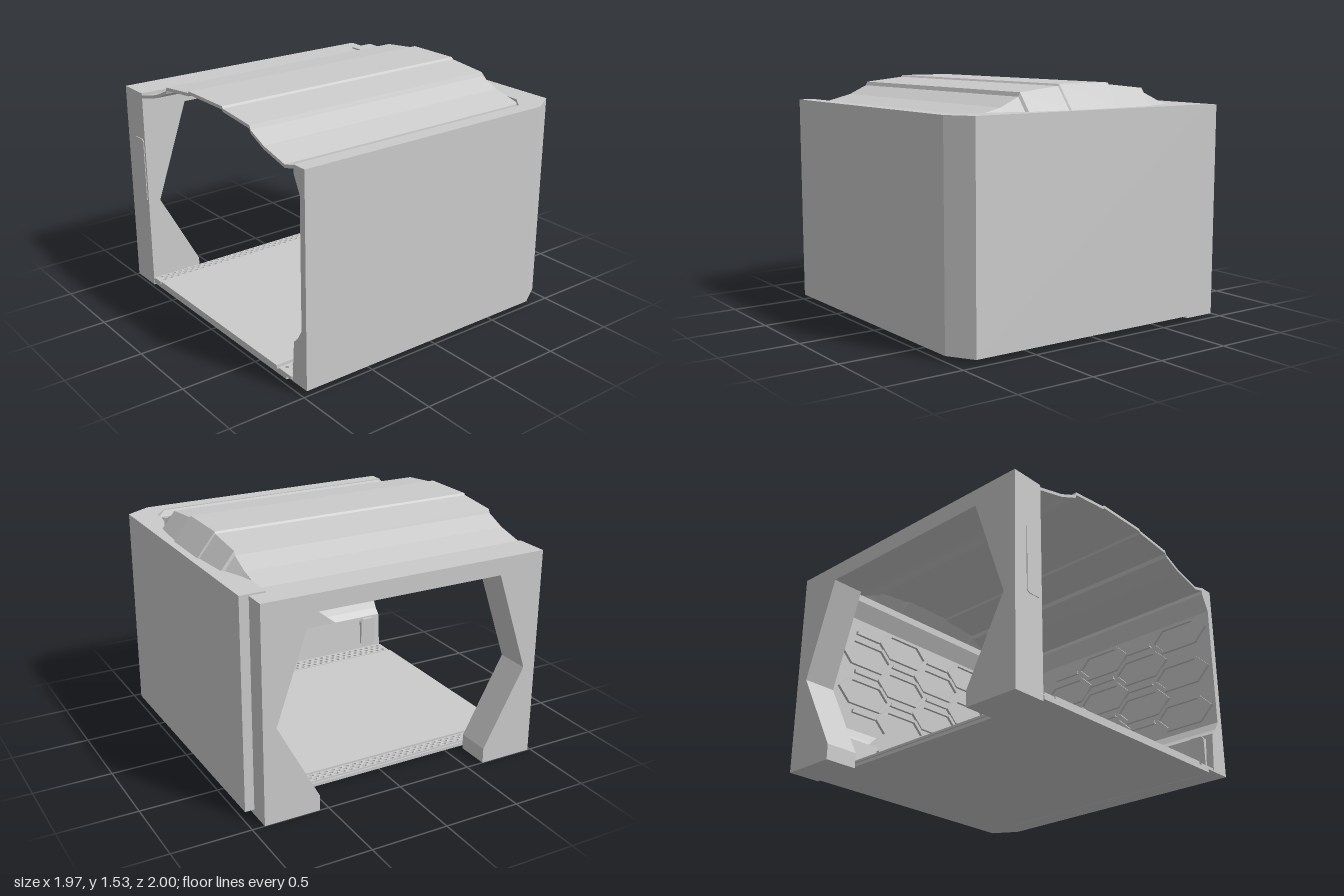
import * as THREE from 'three';

const mat = new THREE.MeshStandardMaterial({ color: 0xcccccc, flatShading: true, side: THREE.DoubleSide });
const v2 = (a) => a.map(([x, y]) => new THREE.Vector2(x, y));

function add(parent, name, geo, x = 0, y = 0, z = 0) {
  const m = new THREE.Mesh(geo, mat);
  m.name = name;
  m.position.set(x, y, z);
  parent.add(m);
  return m;
}

function extrude(points, depth, holes = []) {
  const s = new THREE.Shape(v2(points));
  holes.forEach((h) => s.holes.push(new THREE.Path(v2(h))));
  return new THREE.ExtrudeGeometry(s, { depth, bevelEnabled: false });
}

function flatGeo(positions) {
  const g = new THREE.BufferGeometry();
  g.setAttribute('position', new THREE.Float32BufferAttribute(positions, 3));
  g.computeVertexNormals();
  return g;
}

// Long hexagon outline, half width w and half height h
const hexagon = (w, h, cx = 0, cy = 0) =>
  [[-w, 0], [-w + h, -h], [w - h, -h], [w, 0], [w - h, h], [-w + h, h]].map(([x, y]) => [x + cx, y + cy]);

// Rectangle with cut corners
const cutRect = (w, h, c) =>
  [[-w + c, -h], [w - c, -h], [w, -h + c], [w, h - c], [w - c, h], [-w + c, h], [-w, h - c], [-w, -h + c]];

// Front and side wall: one closed section carried round the chamfered corner
function wallGeometry() {
  const stations = [ // outer x,z / inner x,z / outward x,z
    [-0.98, 1, -0.98, 0.9, 0, 1],
    [0.815, 1, 0.73, 0.9, 0.4, 1],
    [0.98, 0.9, 0.815, 0.8, 1, 0.4],
    [0.98, -0.86, 0.815, -0.86, 1, 0],
  ];
  const inner = [ // outward shift, height
    [0, 1.38], [0, 1.33], [0.055, 1.22], [0.055, 0.4], [0.02, 0.34], [-0.02, 0.3], [-0.04, 0.035],
  ];
  const rings = stations.map(([ox, oz, ix, iz, dx, dz]) => [
    [ox, 0.035, oz], [ox, 1.38, oz],
    ...inner.map(([o, y]) => [ix + dx * o, y, iz + dz * o]),
  ]);
  const pos = [];
  const n = rings[0].length;
  for (let i = 0; i < rings.length - 1; i++) {
    for (let j = 0; j < n; j++) {
      const k = (j + 1) % n;
      const [a, b, c, d] = [rings[i][j], rings[i + 1][j], rings[i + 1][k], rings[i][k]];
      pos.push(...a, ...b, ...c, ...a, ...c, ...d);
    }
  }
  // End caps
  [[rings[0], 2, false], [rings[3], 0, true]].forEach(([ring, axis, flip]) => {
    const tris = THREE.ShapeUtils.triangulateShape(v2(ring.map((p) => [p[axis], p[1]])), []);
    tris.forEach((t) => (flip ? t : [...t].reverse()).forEach((i) => pos.push(...ring[i])));
  });
  return flatGeo(pos);
}

// Stepped roof profile as z, y
const roofLine = [
  [0.9, 1.375], [0.82, 1.355], [0.62, 1.405], [0.495, 1.462], [0.483, 1.487], [0.21, 1.515], [0.2, 1.527],
  [-0.17, 1.527], [-0.18, 1.515], [-0.445, 1.487], [-0.455, 1.462], [-0.585, 1.405], [-0.78, 1.355],
];

function roofGeometry() {
  const under = roofLine.map(([z, y]) => [z, y - 0.02]).reverse();
  const g = extrude([...roofLine, ...under].map(([z, y]) => [-z, y]), 1.795);
  return g.rotateY(Math.PI / 2).translate(-0.98, 0, 0);
}

// Sloping end of the roof, falling to the top of the side wall
function roofEndGeometry() {
  const line = [[0.72, 1.38], ...roofLine.filter((p) => p[1] > 1.38), [-0.673, 1.38]];
  const pos = [];
  for (let i = 0; i < line.length - 1; i++) {
    const [[z0, y0], [z1, y1]] = [line[i], line[i + 1]];
    const foot = (y, z) => [0.815 + (y - 1.38) * 0.8, 1.38, z];
    const [a, b, c, d] = [[0.815, y0, z0], foot(y0, z0), foot(y1, z1), [0.815, y1, z1]];
    pos.push(...a, ...b, ...c, ...a, ...c, ...d);
  }
  return flatGeo(pos);
}

// Raised interior trim, modelled facing -z in local coordinates
function wallTrim(length) {
  const g = new THREE.Group();
  const half = length / 2;
  // Staggered honeycomb frames
  for (let row = 0; row < 5; row++) {
    const y = 0.53 + row * 0.145;
    for (let x = -half + 0.24 + (row % 2) * 0.33; x <= half - 0.23; x += 0.66) {
      add(g, 'honeycombFrame', extrude(hexagon(0.23, 0.095), 0.03, [hexagon(0.195, 0.075)]), x, y, -0.02);
      if (x + 0.43 <= half) add(g, 'honeycombLink', new THREE.BoxGeometry(0.2, 0.022, 0.03), x + 0.33, y, -0.005);
    }
  }
  // Raised lower plate with sloping shoulders
  add(g, 'skirtPlate', extrude([[-0.5, 0.28], [0.5, 0.28], [0.3, 0.44], [-0.3, 0.44]], 0.075), 0, 0, -0.075);
  return g;
}

// Strip of floor with rows of hexagonal openings
function grateGeometry(length, width) {
  const holes = [];
  for (let r = 0; r < 3; r++) {
    const y = (r - 1) * width * 0.3;
    for (let x = -length / 2 + 0.04 + (r % 2) * 0.025; x < length / 2 - 0.03; x += 0.05) {
      holes.push(hexagon(0.018, width * 0.11, x, y));
    }
  }
  const [l, w] = [length / 2, width / 2];
  return extrude([[-l, -w], [l, -w], [l, w], [-l, w]], 0.012, holes).rotateX(-Math.PI / 2);
}

export function createModel() {
  const model = new THREE.Group();
  model.name = 'roomModule';

  add(model, 'outerWall', wallGeometry());
  add(model, 'roof', roofGeometry());
  add(model, 'roofEnd', roofEndGeometry());

  // Back wall with a faceted doorway open at the floor
  const door = [[0.59, 0], [0.59, 0.1], [0.865, 0.61], [0.64, 1.26]];
  const mirrored = door.map(([x, y]) => [-x, y]).reverse();
  const outline = [[0.95, 0], [0.95, 1.37], [-0.95, 1.37], [-0.95, 0], ...mirrored.reverse(), ...[...door].reverse()];
  add(model, 'doorWall', extrude(outline, 0.22), -0.03, 0, -1);
  const sidePanel = add(model, 'doorWallSidePanel', extrude(cutRect(0.055, 0.22, 0.015), 0.005), -0.98, 0.83, -0.85);
  sidePanel.rotation.y = -Math.PI / 2;

  // Floor: lower slab, upper slab, centre plate and grates
  const floor = new THREE.Group();
  floor.name = 'floor';
  model.add(floor);
  add(floor, 'floorBase', new THREE.BoxGeometry(1.82, 0.022, 1.57), -0.07, 0.026, 0.015);
  add(floor, 'floorDeck', new THREE.BoxGeometry(1.78, 0.008, 1.65), -0.09, 0.04, 0.045);
  const plate = [[-0.98, 0.7], [0.6, 0.7], [0.7, 0.6], [0.7, -0.68], [-0.98, -0.68]].map(([x, z]) => [x, -z]);
  add(floor, 'centrePlate', extrude(plate, 0.018).rotateX(-Math.PI / 2), 0, 0.044, 0);
  add(floor, 'frontGrate', grateGeometry(1.6, 0.13), -0.18, 0.044, 0.785);
  add(floor, 'backGrate', grateGeometry(1.6, 0.08), -0.18, 0.044, -0.73);
  const sideGrate = add(floor, 'sideGrate', grateGeometry(1.28, 0.06), 0.74, 0.044, -0.04);
  sideGrate.rotation.y = Math.PI / 2;

  // Interior wall trim on the front and side walls
  const frontTrim = wallTrim(1.7);
  frontTrim.name = 'frontWallTrim';
  frontTrim.position.set(-0.12, 0, 0.955);
  const sideTrim = wallTrim(1.5);
  sideTrim.name = 'sideWallTrim';
  sideTrim.position.set(0.87, 0, -0.01);
  sideTrim.rotation.y = Math.PI / 2;
  model.add(frontTrim, sideTrim);

  // Small hatches along the foot of the walls
  for (const x of [-0.87, -0.08, 0.6]) {
    add(model, 'hatch', extrude(cutRect(0.06, 0.11, 0.02), 0.05), x, 0.18, 0.85);
  }
  for (const z of [-0.36, 0.41]) {
    add(model, 'hatch', extrude(cutRect(0.06, 0.11, 0.02), 0.05), 0.765, 0.18, z).rotation.y = Math.PI / 2;
  }
  return model;
}
